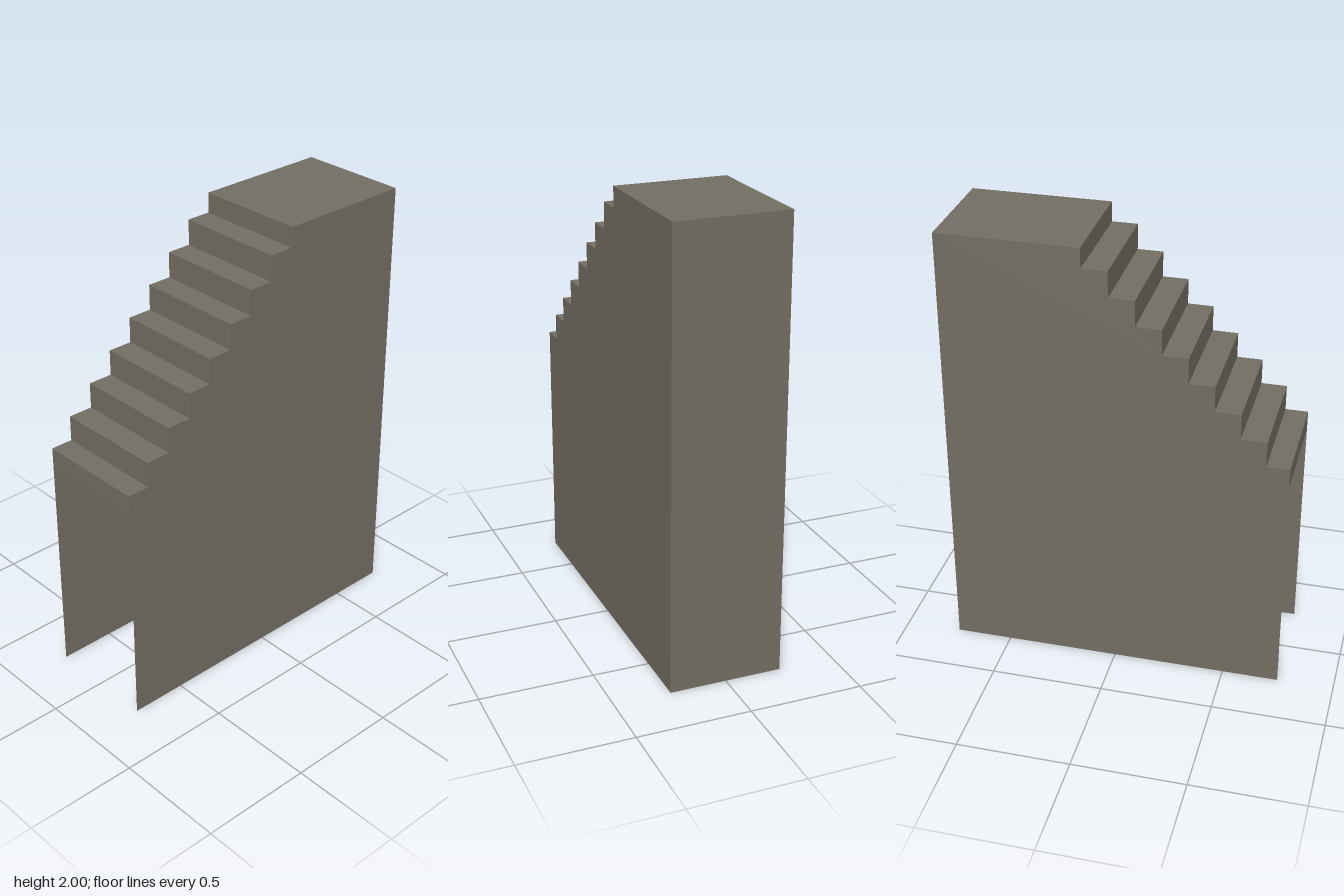
import * as THREE from 'three';

const HALF_X = 0.75, HALF_Z = 0.25, TOP = 2;
const STEPS = 8, FIRST_TREAD = 1.105, RISE = 0.115, LIP_BOTTOM = 1.02;
const FIRST_RISER = -0.65, RUN = 0.1118;

export function createModel() {
  const group = new THREE.Group();
  group.name = 'staircase';
  // the block is a thin open shell: no floor, and no wall below the first step
  const stone = new THREE.MeshStandardMaterial({ color: 0x736e62, side: THREE.DoubleSide });
  stone.name = 'grey brown stone';

  const add = (name, geometry) => {
    const mesh = new THREE.Mesh(geometry, stone);
    mesh.name = name;
    group.add(mesh);
  };
  // level sheet facing up
  const tread = (name, x0, x1, y) => add(name,
    new THREE.PlaneGeometry(x1 - x0, 2 * HALF_Z).rotateX(-Math.PI / 2).translate((x0 + x1) / 2, y, 0));
  // upright sheet facing along x (dir is +1 or -1)
  const upright = (name, x, y0, y1, dir) => add(name,
    new THREE.PlaneGeometry(2 * HALF_Z, y1 - y0).rotateY(dir * Math.PI / 2).translate(x, (y0 + y1) / 2, 0));

  // stepped outline, from the low end up to the landing
  const outline = [[-HALF_X, FIRST_TREAD]];
  upright('firstRiser', -HALF_X, LIP_BOTTOM, FIRST_TREAD, -1);
  let x = -HALF_X;
  for (let i = 0; i < STEPS; i++) {
    const y = FIRST_TREAD + i * RISE;
    const nextX = FIRST_RISER + i * RUN;
    const nextY = i === STEPS - 1 ? TOP : y + RISE;
    tread('tread', x, nextX, y);
    upright('riser', nextX, y, nextY, -1);
    outline.push([nextX, y], [nextX, nextY]);
    x = nextX;
  }
  tread('landing', x, HALF_X, TOP);
  upright('endWall', HALF_X, 0, TOP, 1);
  outline.push([HALF_X, TOP], [HALF_X, 0], [-HALF_X, 0]);

  // side walls; the back one is drawn mirrored and turned to face outward
  const wall = (sign) => new THREE.ShapeGeometry(
    new THREE.Shape(outline.map(([px, py]) => new THREE.Vector2(sign * px, py))));
  add('frontWall', wall(1).translate(0, 0, HALF_Z));
  add('backWall', wall(-1).rotateY(Math.PI).translate(0, 0, -HALF_Z));

  return group;
}
